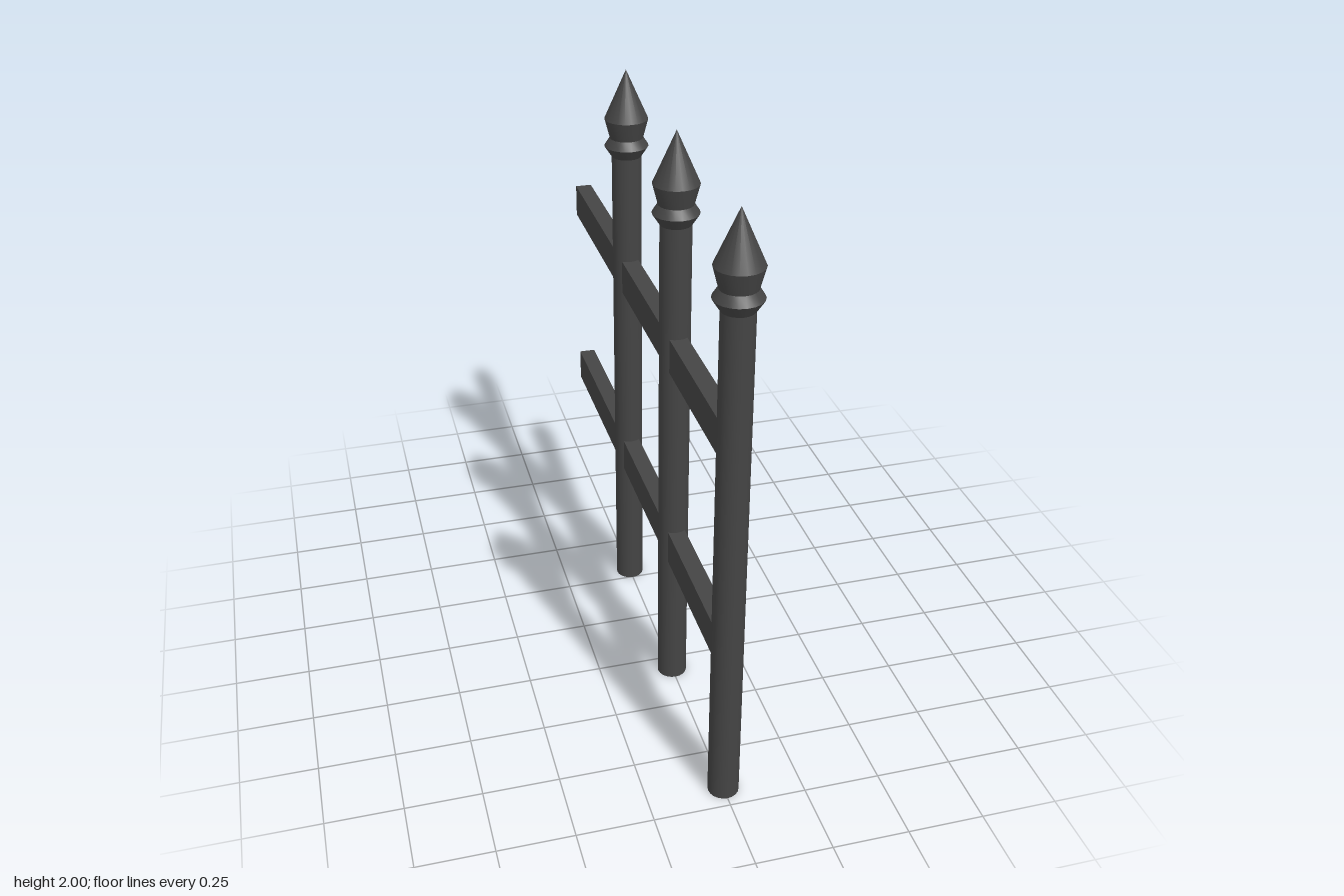
import * as THREE from 'three';
import { toCreasedNormals } from 'three/addons/utils/BufferGeometryUtils.js';

export function createModel() {
  const group = new THREE.Group();
  group.name = 'fenceSection';
  const iron = new THREE.MeshStandardMaterial({ color: 0x444444 });
  iron.name = 'dark iron';

  const add = (parent, geometry, name, y, z) => {
    const mesh = new THREE.Mesh(geometry, iron);
    mesh.name = name;
    mesh.position.set(0, y, z);
    parent.add(mesh);
  };

  const postHeight = 1.705;
  const postGeometry = new THREE.CylinderGeometry(0.05, 0.05, postHeight, 20);

  // Collar ring, flared neck and pointed tip
  const profile = [
    [0, 1.705], [0.05, 1.705], [0.074, 1.742], [0.056, 1.77], [0.073, 1.835], [0, 2],
  ].map(([r, y]) => new THREE.Vector2(r, y));
  const finialGeometry = toCreasedNormals(new THREE.LatheGeometry(profile, 20), 0.5);

  // Evenly spaced pickets
  for (let i = 0; i < 3; i++) {
    const picket = new THREE.Group();
    picket.name = 'picket' + (i + 1);
    picket.position.z = 0.92 - i * 0.609;
    add(picket, postGeometry, 'post', postHeight / 2, 0);
    add(picket, finialGeometry, 'finial', 0, 0);
    group.add(picket);
  }

  // Rails start inside the first post and run past the last one
  const front = 0.9, back = -0.994;
  const railGeometry = new THREE.BoxGeometry(0.058, 0.117, front - back);
  add(group, railGeometry, 'lowerRail', 0.556, (front + back) / 2);
  add(group, railGeometry, 'upperRail', 1.278, (front + back) / 2);

  return group;
}
